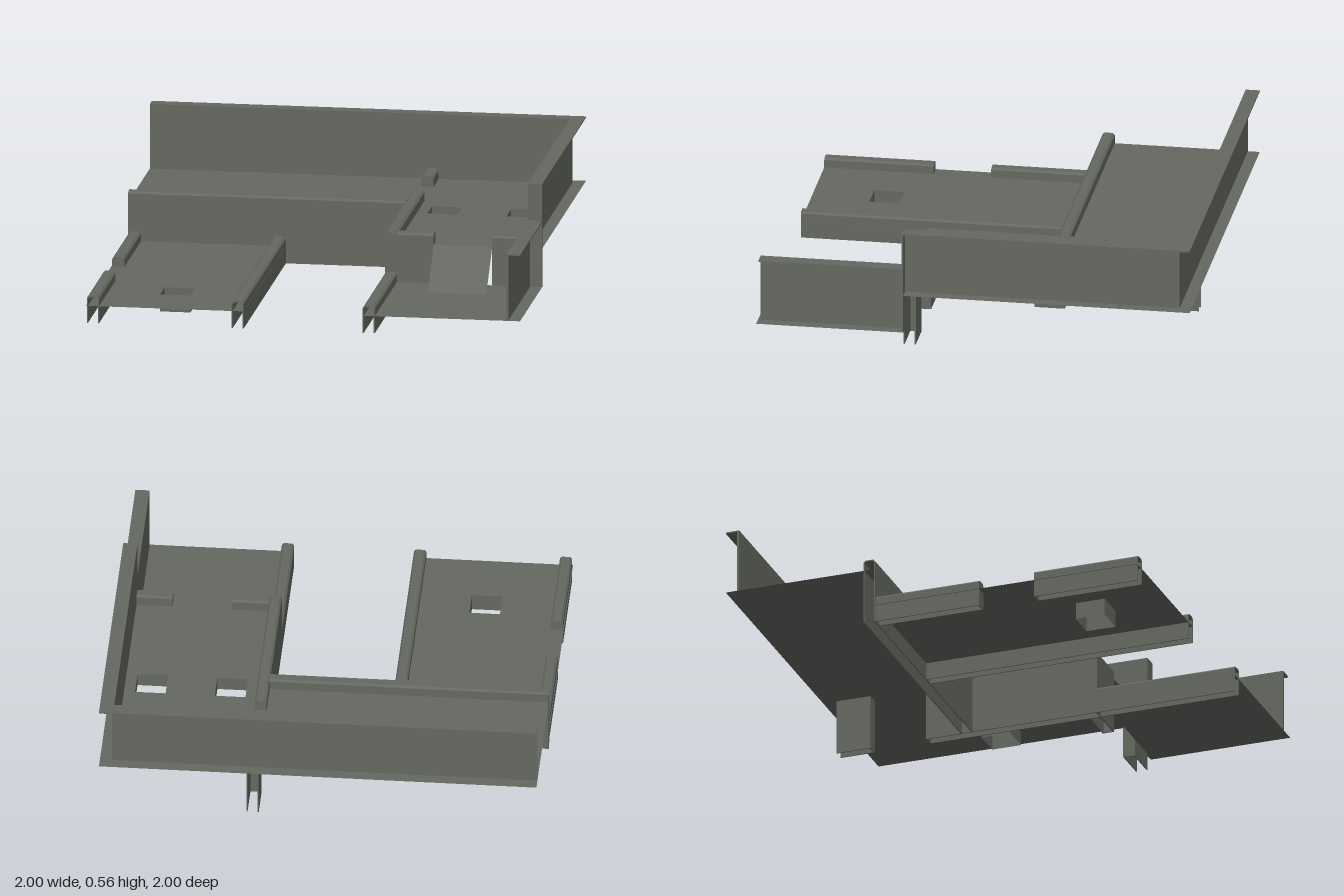
import * as THREE from 'three';

export function createModel() {
  const model = new THREE.Group();
  const metal = new THREE.MeshStandardMaterial({ color: 0x656861, side: THREE.DoubleSide });
  metal.name = 'grey metal';

  function add(name, geometry, parent = model) {
    const mesh = new THREE.Mesh(geometry, metal);
    mesh.name = name;
    parent.add(mesh);
    return mesh;
  }

  // Box given by its limits on each axis
  function block(name, x0, x1, y0, y1, z0, z1) {
    add(name, new THREE.BoxGeometry(x1 - x0, y1 - y0, z1 - z0))
      .position.set((x0 + x1) / 2, (y0 + y1) / 2, (z0 + z1) / 2);
  }

  // Thin floor at height y, with square openings that have skirts below
  function floor(name, y, outline, holes, skirt) {
    const toPoints = list => list.map(([x, z]) => new THREE.Vector2(x, -z));
    const shape = new THREE.Shape(toPoints(outline));
    for (const [x0, x1, z0, z1] of holes) {
      shape.holes.push(new THREE.Path(toPoints([[x0, z0], [x1, z0], [x1, z1], [x0, z1]])));
      const frame = new THREE.Group();
      frame.name = name + 'OpeningSkirt';
      frame.position.set((x0 + x1) / 2, y - skirt / 2, (z0 + z1) / 2);
      for (let i = 0; i < 4; i++) {
        const width = i % 2 ? z1 - z0 : x1 - x0;
        const offset = (i % 2 ? x1 - x0 : z1 - z0) / 2;
        const side = new THREE.PlaneGeometry(width, skirt).translate(0, 0, offset);
        add('skirtSide', side.rotateY(i * Math.PI / 2), frame);
      }
      model.add(frame);
    }
    add(name, new THREE.ShapeGeometry(shape).rotateX(-Math.PI / 2)).position.y = y;
  }

  // Upside-down channel with bevelled top edges; caps close chosen ends
  const W = 0.056;
  function profile(w, h, b) {
    return [[-w, 0], [-w, h - b], [b - w, h], [w - b, h], [w, h - b], [w, 0]]
      .map(p => new THREE.Vector2(...p));
  }
  function rail(name, axis, center, from, to, height, capFrom = false, capTo = false) {
    const group = new THREE.Group();
    group.name = name;
    const outer = profile(W / 2, height, 0.009);
    const inner = profile(W / 2 - 0.005, height - 0.005, 0.007).reverse();
    const extrude = (points, depth) =>
      new THREE.ExtrudeGeometry(new THREE.Shape(points), { depth, bevelEnabled: false });
    add('channel', extrude([...outer, ...inner], to - from), group);
    if (capFrom) add('endCap', extrude(outer, 0.005), group);
    if (capTo) add('endCap', extrude(outer, 0.005).translate(0, 0, to - from - 0.005), group);
    if (axis === 'x') {
      group.rotation.y = Math.PI / 2;
      group.position.set(from, 0, center);
    } else {
      group.position.set(center, 0, from);
    }
    model.add(group);
  }

  // Floors: raised deck and two lower walkways
  floor('upperDeck', 0.26,
    [[-1, -1], [1, -1], [1, 0.33], [0.275, 0.33], [0.275, -0.275], [-1, -0.275]],
    [[0.38, 0.52, -0.405, -0.265], [0.745, 0.885, -0.405, -0.265]], 0.062);
  floor('lowerRightWalkway', 0.08, [[0.275, 0.33], [1, 0.33], [1, 1], [0.275, 1]], [], 0);
  floor('lowerLeftWalkway', 0.08, [[-1, -0.28], [-0.272, -0.28], [-0.272, 1], [-1, 1]],
    [[-0.7, -0.56, 0.59, 0.73]], 0.08);

  // Outer walls, with thin ledges projecting outwards on top
  block('backWall', -1, 0.945, 0.26, 0.56, -0.945, -0.935);
  block('backLedge', -1, 1, 0.556, 0.562, -1, -0.935);
  block('upperSideWall', 0.935, 0.945, 0.26, 0.56, -0.945, 0.33);
  block('upperSideLedge', 0.935, 1, 0.556, 0.562, -0.935, 0.33);
  block('sideWallEndPlate', 0.935, 1, 0.08, 0.56, 0.322, 0.33);
  block('lowerSideWall', 0.935, 0.945, 0.08, 0.39, 0.33, 0.99);
  block('lowerSideLedge', 0.935, 1, 0.384, 0.39, 0.33, 0.99);

  // Rails around the raised deck, continuing down to the ground
  rail('deckFrontRail', 'x', -0.303, -1, 0.28, 0.31);
  rail('deckInnerRail', 'z', 0.303, -0.5, 0.33, 0.31, true, true);
  rail('deckDoorPost', 'z', 0.303, -0.935, -0.77, 0.31, false, true);
  rail('rampLeftRail', 'x', 0.302, 0.33, 0.5, 0.31, false, true);
  rail('rampRightRail', 'x', 0.302, 0.77, 0.937, 0.31, true, false);

  // Low rails along the walkways
  rail('leftOuterRailBack', 'z', -0.968, -0.28, 0.23, 0.125, false, true);
  rail('leftOuterRailFront', 'z', -0.968, 0.495, 1, 0.125, true, false);
  rail('leftInnerRail', 'z', -0.301, -0.28, 1, 0.125);
  rail('rightInnerRail', 'z', 0.303, 0.33, 1, 0.125);

  // Ramp from the raised deck down to the right walkway
  const rise = 0.18, run = 0.18;
  const ramp = add('ramp', new THREE.PlaneGeometry(0.27, Math.hypot(rise, run)));
  ramp.rotation.x = -Math.atan2(run, rise);
  ramp.position.set(0.635, 0.17, 0.42);

  return model;
}
